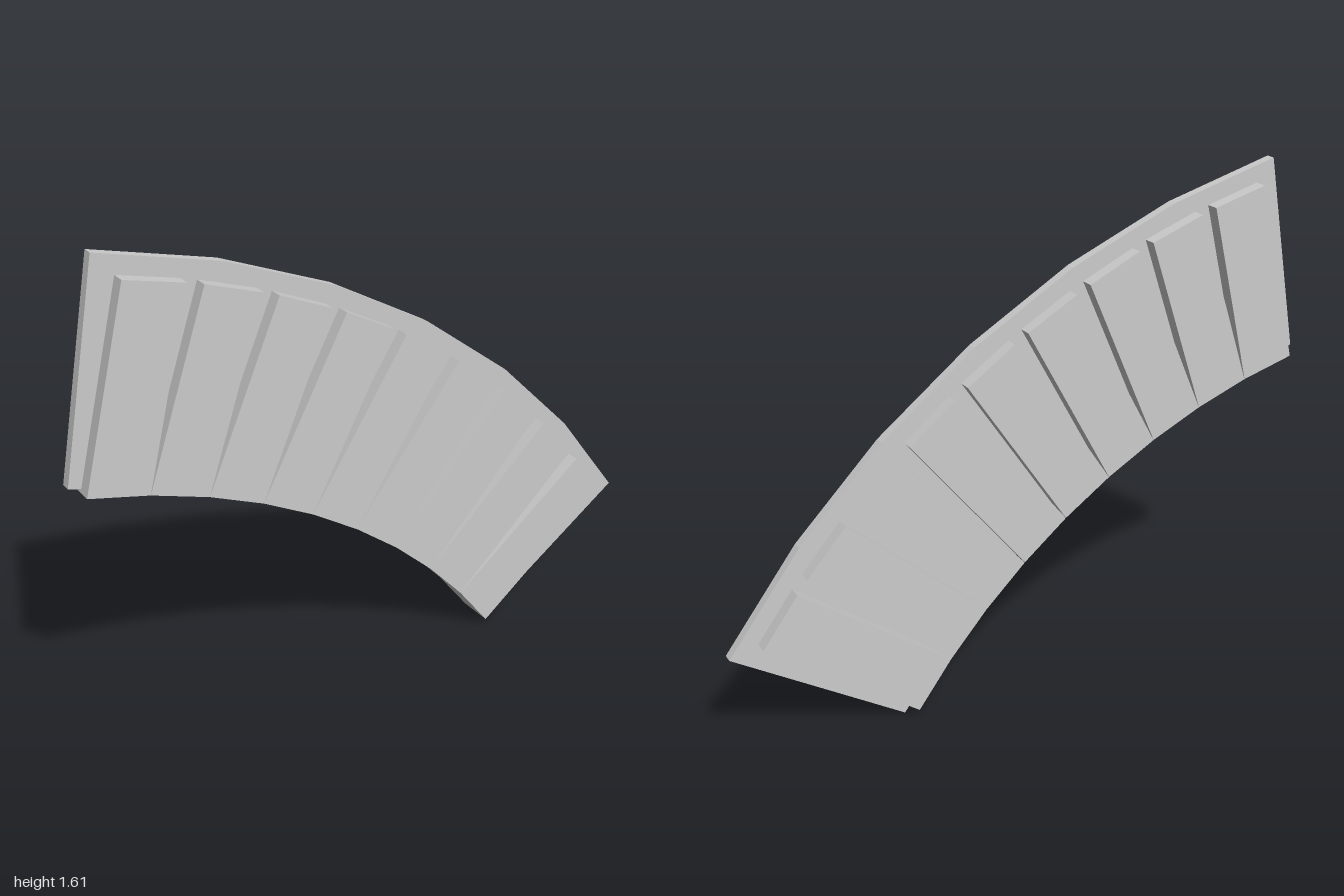
import * as THREE from 'three';

const CX = -1.443, CY = -1.268;          // centre of the arc
const rad = THREE.MathUtils.degToRad;
const MID = 56.25;                       // middle angle of the segment, degrees

export function createModel() {
  const group = new THREE.Group();
  const material = new THREE.MeshStandardMaterial({ color: 0xcccccc, flatShading: true });

  // Thin faceted arc plate, 45 degrees in six straight steps
  const outer = [], inner = [];
  for (let i = 0; i <= 6; i++) {
    const a = rad(MID + 22.5 - i * 7.5);
    const at = r => new THREE.Vector2(CX + r * Math.cos(a), CY + r * Math.sin(a));
    outer.push(at(2.939));
    inner.unshift(at(2.286));
  }
  const plateGeometry = new THREE.ExtrudeGeometry(new THREE.Shape([...outer, ...inner]),
    { depth: 0.031, bevelEnabled: false });
  plateGeometry.translate(0, 0, -0.0155);
  const plate = new THREE.Mesh(plateGeometry, material);
  plate.name = 'arcPlate';
  group.add(plate);

  // Nine radial blocks passing through the plate, touching at the inner edge
  const r0 = 2.271, r1 = 2.879, step = 4.79;
  const blockGeometry = new THREE.BoxGeometry(r1 - r0, 0.1895, 0.115);
  for (let i = 0; i < 9; i++) {
    const a = rad(MID + (4 - i) * step);
    const r = (r0 + r1) / 2;
    const block = new THREE.Mesh(blockGeometry, material);
    block.name = `radialBlock${i + 1}`;
    block.position.set(CX + r * Math.cos(a), CY + r * Math.sin(a), 0);
    block.rotation.z = a;
    group.add(block);
  }
  return group;
}
